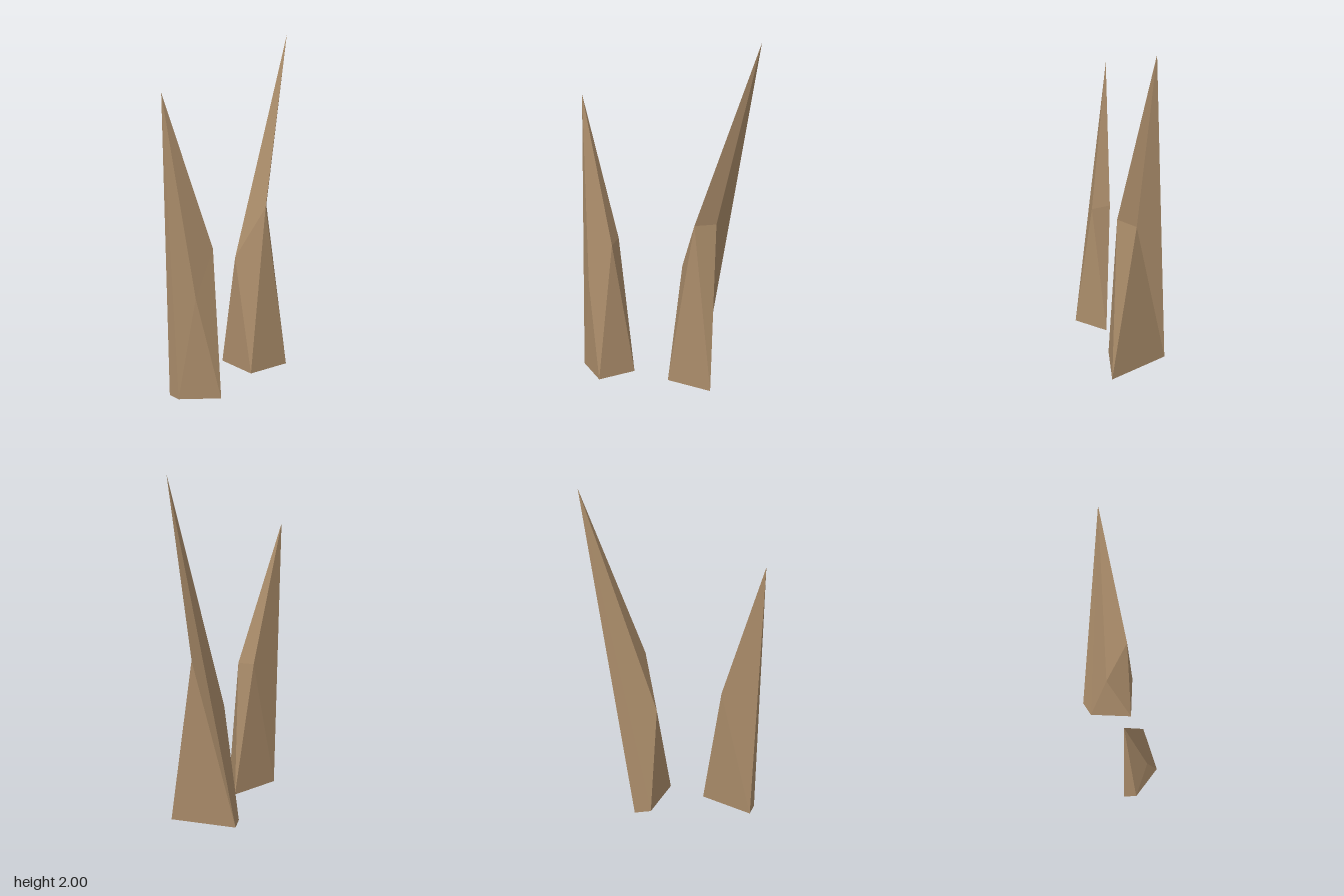
import * as THREE from 'three';

// Corners: 0-3 base (counter-clockwise from above), 4-6 shoulder chips, 7 tip
const FACES = [
  0, 1, 4, 1, 5, 4, 4, 5, 7,   // first side and the bevel above it
  1, 2, 5, 2, 6, 5, 5, 6, 7,   // second side
  2, 3, 6, 3, 7, 6,            // third side
  3, 0, 7, 0, 4, 7,            // last side
  0, 3, 2, 0, 2, 1,            // underside
];

function shard(name, corners, material) {
  const indexed = new THREE.BufferGeometry();
  indexed.setAttribute('position', new THREE.Float32BufferAttribute(corners.flat(), 3));
  indexed.setIndex(FACES);
  const geometry = indexed.toNonIndexed();
  geometry.computeVertexNormals();
  const mesh = new THREE.Mesh(geometry, material);
  mesh.name = name;
  return mesh;
}

export function createModel() {
  const group = new THREE.Group();
  group.name = 'rockShards';
  const stone = new THREE.MeshStandardMaterial({ color: 0xa98b69, flatShading: true });
  stone.name = 'tan stone';

  // Tall shard leaning back and outward
  group.add(shard('tallShard', [
    [-0.03, 0, -0.2], [0.13, 0, 0.03], [0.36, 0, -0.13], [0.005, 0, -0.295],
    [0.043, 0.68, -0.11], [0.222, 0.985, -0.088], [0.24, 0.98, -0.222],
    [0.375, 2, -0.397],
  ], stone));

  // Shorter shard leaning the other way
  group.add(shard('shortShard', [
    [-0.3, 0, 0.395], [-0.065, 0, 0.395], [-0.065, 0, 0.16], [-0.35, 0, 0.33],
    [-0.202, 0.57, 0.39], [-0.104, 0.825, 0.278], [-0.186, 0.835, 0.198],
    [-0.375, 1.675, 0.33],
  ], stone));

  return group;
}
